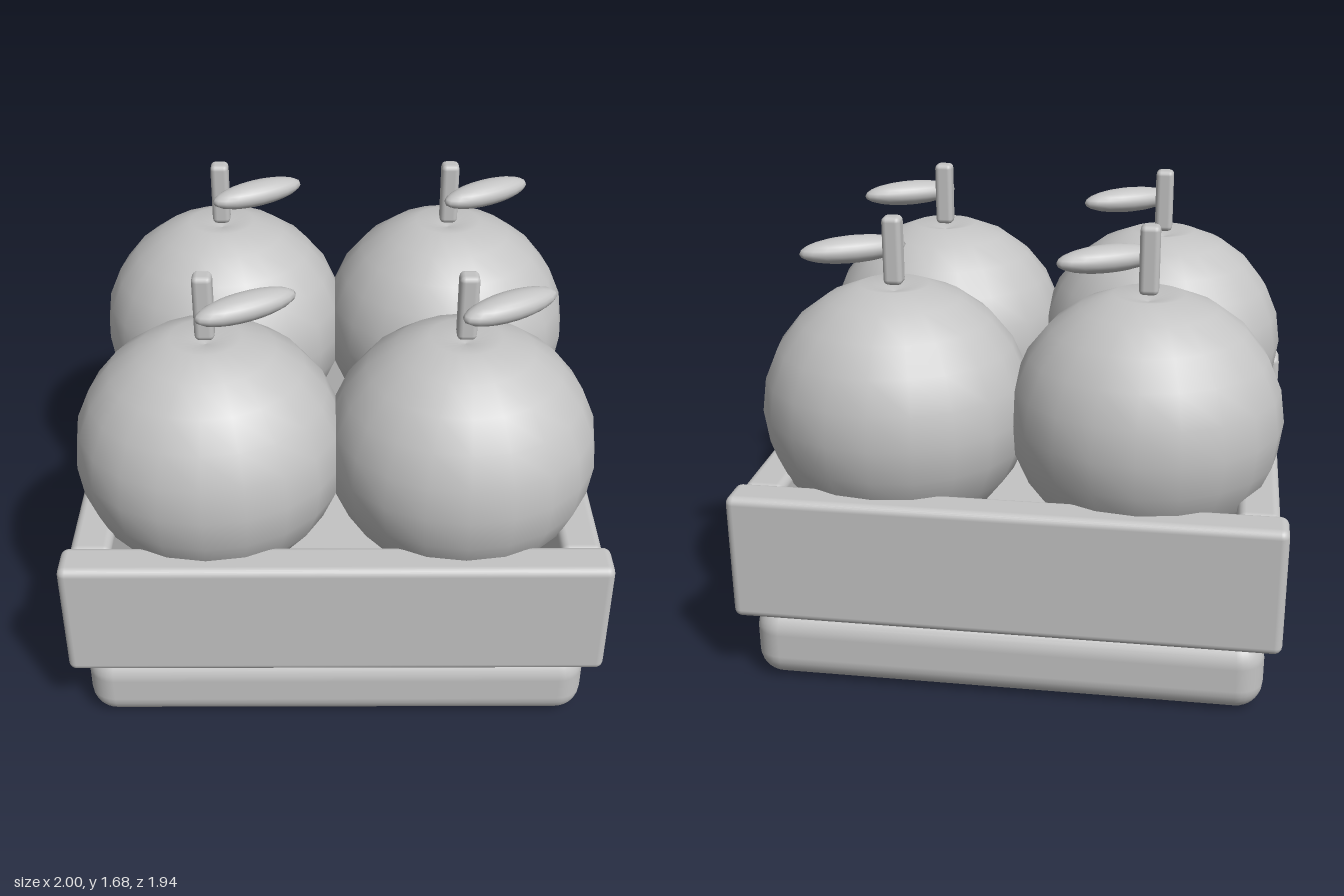
import * as THREE from 'three';
import { RoundedBoxGeometry } from 'three/addons/geometries/RoundedBoxGeometry.js';

export function createModel() {
  const crate = new THREE.Group();
  crate.name = 'fruitCrate';
  const grey = new THREE.MeshStandardMaterial({ color: 0xc4c4c4 });
  grey.name = 'plain grey';

  function add(parent, name, geometry, x, y, z) {
    const mesh = new THREE.Mesh(geometry, grey);
    mesh.name = name;
    mesh.position.set(x, y, z);
    parent.add(mesh);
    return mesh;
  }

  // Thick, softly rounded base
  add(crate, 'base', new RoundedBoxGeometry(1.89, 0.29, 1.89, 4, 0.1), 0, 0.145, 0);

  // Four walls; the front and back ones overlap the ends of the side ones
  const longWall = new RoundedBoxGeometry(2, 0.485, 0.15, 3, 0.03);
  const sideWall = new RoundedBoxGeometry(0.15, 0.485, 1.7, 3, 0.03);
  for (const s of [1, -1]) {
    add(crate, s > 0 ? 'frontWall' : 'backWall', longWall, 0, 0.515, s * 0.895);
    add(crate, s > 0 ? 'leftWall' : 'rightWall', sideWall, s * 0.895, 0.515, 0);
  }

  // Slightly flattened fruit with a shallow dimple at the top and bottom
  const body = new THREE.SphereGeometry(1, 20, 12).scale(0.508, 0.488, 0.49);
  const p = body.attributes.position;
  for (let i = 0; i < p.count; i++) {
    if (Math.hypot(p.getX(i), p.getZ(i)) < 0.05) p.setY(i, Math.sign(p.getY(i)) * 0.44);
  }
  body.computeVertexNormals();
  // Restore matching normals along the sphere's seam
  const n = body.attributes.normal;
  for (let row = 0; row <= 12; row++) {
    const a = row * 21, b = a + 20;
    const v = new THREE.Vector3(n.getX(a) + n.getX(b), n.getY(a) + n.getY(b), n.getZ(a) + n.getZ(b)).normalize();
    for (const i of [a, b]) n.setXYZ(i, v.x, v.y, v.z);
  }

  const stem = new RoundedBoxGeometry(0.072, 0.255, 0.072, 2, 0.02);
  const leaf = new THREE.SphereGeometry(1, 20, 12).scale(0.2, 0.05, 0.066);

  for (const x of [-0.468, 0.468]) {
    for (const z of [-0.468, 0.468]) {
      const fruit = new THREE.Group();
      fruit.name = 'fruit';
      fruit.position.set(x, 0, z);
      add(fruit, 'fruitBody', body, 0, 0.96, 0);
      add(fruit, 'stem', stem, 0, 1.557, 0);
      add(fruit, 'leaf', leaf, 0.15, 1.555, 0).rotation.y = Math.PI / 6;
      crate.add(fruit);
    }
  }
  return crate;
}
